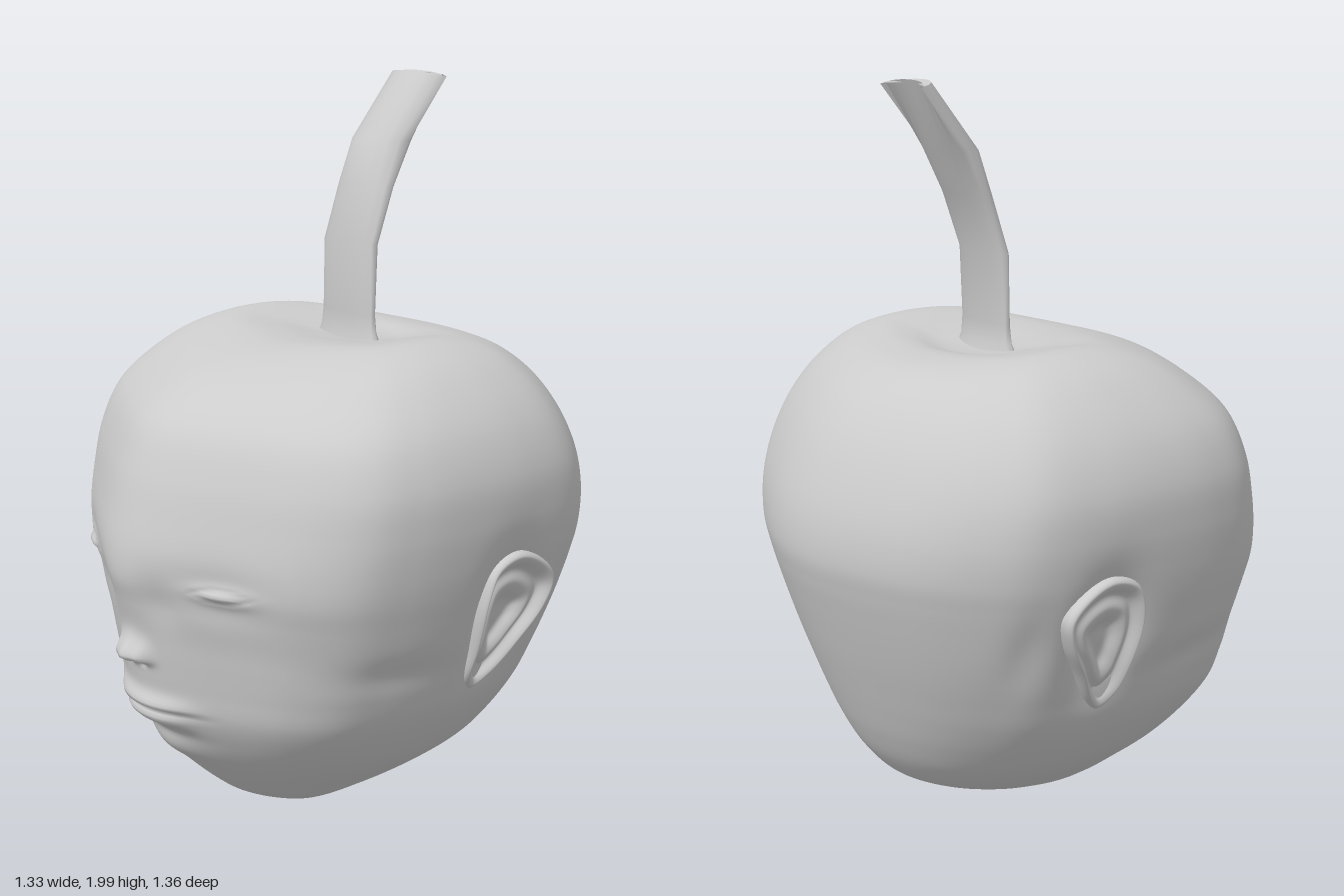
import * as THREE from 'three';

const V = (x, y, z) => new THREE.Vector3(x, y, z);
const bell = (a, b) => Math.exp(-a * a - b * b);
const plateau = (a, b) => Math.exp(-(a ** 4) - b * b);

// Skin closed rings of points, listed counterclockwise around the direction of travel
function loft(name, rings, side = THREE.FrontSide) {
  const n = rings[0].length, index = [];
  for (let i = 0; i < rings.length - 1; i++) {
    for (let j = 0; j < n; j++) {
      const a = i * n + j, b = i * n + (j + 1) % n;
      index.push(a, b, b + n, a, b + n, a + n);
    }
  }
  const geo = new THREE.BufferGeometry().setFromPoints(rings.flat());
  geo.setIndex(index);
  geo.computeVertexNormals();
  const mesh = new THREE.Mesh(geo, new THREE.MeshStandardMaterial({ color: 0xcccccc, side }));
  mesh.name = name;
  return mesh;
}

// Head levels: half width, its y, front z, its y, back z, its y
const LEVELS = [
  [0, 0.01, 0.1, 0.01, 0.1, 0.01],
  [0.12, 0.012, 0.22, 0.008, -0.08, 0.025],
  [0.19, 0.05, 0.31, 0.045, -0.25, 0.062],
  [0.28, 0.115, 0.4, 0.115, -0.385, 0.12],
  [0.38, 0.2, 0.485, 0.2, -0.46, 0.2],
  [0.455, 0.29, 0.555, 0.285, -0.51, 0.29],
  [0.512, 0.38, 0.605, 0.375, -0.547, 0.38],
  [0.545, 0.46, 0.622, 0.46, -0.577, 0.46],
  [0.573, 0.53, 0.632, 0.53, -0.602, 0.53],
  [0.597, 0.6, 0.642, 0.6, -0.625, 0.6],
  [0.62, 0.68, 0.662, 0.68, -0.65, 0.68],
  [0.638, 0.75, 0.68, 0.75, -0.67, 0.75],
  [0.652, 0.82, 0.677, 0.82, -0.683, 0.82],
  [0.664, 0.92, 0.652, 0.92, -0.673, 0.92],
  [0.66, 1.03, 0.615, 1.03, -0.635, 1.03],
  [0.62, 1.14, 0.555, 1.14, -0.575, 1.14],
  [0.55, 1.23, 0.45, 1.22, -0.5, 1.225],
  [0.46, 1.3, 0.33, 1.275, -0.41, 1.28],
  [0.36, 1.333, 0.2, 1.305, -0.32, 1.3],
  [0.24, 1.318, 0.1, 1.307, -0.26, 1.302],
  [0.13, 1.295, 0.0, 1.295, -0.19, 1.288],
  [0, 1.285, -0.08, 1.285, -0.08, 1.285],
];

// Half of the rounded six-sided section, front to back
const SECTION = [[0, 1], [0.11, 0.987], [0.23, 0.948], [0.45, 0.85], [0.76, 0.68], [0.91, 0.52],
  [0.975, 0.32], [1, 0.05], [0.99, -0.24], [0.93, -0.51], [0.81, -0.67], [0.62, -0.82],
  [0.3, -0.95], [0.13, -0.99], [0, -1]];

// Face relief: forward or backward push at a point on the front
function relief(x, y) {
  const ax = Math.abs(x), ex = ax - 0.3, ey = y - 0.752;
  let d = 0;
  // sockets, almond eyeballs, lid slits
  d -= 0.016 * bell((ax - 0.27) / 0.14, (y - 0.75) / 0.065);
  d += 0.024 * bell(ex / 0.075, ey / 0.024);
  d -= 0.007 * plateau(ex / 0.075, (ey - 0.016 + 2.4 * ex * ex) / 0.006);
  d -= 0.007 * plateau(ex / 0.075, (ey + 0.014 - 2.4 * ex * ex) / 0.006);
  d -= 0.012 * bell((ax - 0.12) / 0.06, (y - 0.7) / 0.07);
  // nose tip, wings and nostrils
  const ny = y - 0.528, s = ny < 0 ? 0.018 : 0.045;
  d += 0.048 * bell(x / 0.045, ny / s);
  d += 0.02 * bell((ax - 0.05) / 0.022, ny / (s * 0.8));
  d -= 0.016 * bell((ax - 0.03) / 0.015, (y - 0.51) / 0.008);
  // lips, mouth line, crease under the lip, chin
  d += 0.024 * plateau(x / 0.16, (y - 0.395) / 0.025);
  d += 0.024 * plateau(x / 0.13, (y - 0.352) / 0.026);
  d -= 0.022 * plateau(x / 0.17, (y - 0.379) / 0.007);
  d -= 0.012 * bell(x / 0.12, (y - 0.3) / 0.025);
  d += 0.014 * bell(x / 0.11, (y - 0.235) / 0.035);
  return d;
}

function buildHead() {
  const rows = 190, cols = 260;
  const curve = (f) => new THREE.CatmullRomCurve3(LEVELS.map(f));
  const side = curve((l) => V(l[0], l[1], 0));
  const front = curve((l) => V(0, l[3], l[2]));
  const back = curve((l) => V(0, l[5], l[4]));
  const half = SECTION.map(([x, z]) => V(x, 0, z));
  const other = half.slice(1, -1).reverse().map((p) => V(-p.x, 0, p.z));
  const outline = new THREE.CatmullRomCurve3([...half, ...other], true);
  // columns crowd together toward the face
  const section = Array.from({ length: cols }, (_, j) => {
    const t = (j / cols) * Math.PI * 2;
    const u = (t - 0.45 * Math.sin(t)) / (Math.PI * 2);
    return outline.getPointAt(Math.max(0, u));
  });
  const rings = [];
  for (let i = 0; i <= rows; i++) {
    const s = side.getPoint(i / rows), f = front.getPoint(i / rows), b = back.getPoint(i / rows);
    // the section turns round toward the underside
    const round = 0.6 * (1 - THREE.MathUtils.smoothstep(s.y, 0.1, 0.5));
    rings.push(section.map((q) => {
      const r = THREE.MathUtils.lerp(1, 1 / Math.hypot(q.x, q.z), round);
      const qx = q.x * r, qz = q.z * r;
      const y = s.y + (f.y - b.y) / 2 * qz + ((f.y + b.y) / 2 - s.y) * qz * qz;
      let x = Math.max(0, s.x) * qx;
      let z = (f.z + b.z) / 2 + (f.z - b.z) / 2 * qz;
      if (z > 0.2) z += relief(x, y) * THREE.MathUtils.smoothstep(z, 0.2, 0.4);
      // hollow under the ear, groove behind it, fold on the cheek
      const dent = 0.06 * bell((z + 0.12) / 0.09, (y - 0.65) / 0.16)
        + 0.015 * bell((z + 0.33) / 0.05, (y - 0.62) / 0.12)
        + 0.012 * bell((z - 0.2) / 0.17, (y - 0.53 - 0.1 * (z - 0.2)) / 0.05);
      x -= qx * dent;
      return V(x, y, z);
    }));
  }
  return loft('head', rings);
}

// Ear: a teardrop dish with a raised rim, rings running from the root to the centre
function buildEar(side) {
  const outline = new THREE.CatmullRomCurve3([[0.82, -0.13], [0.79, -0.05], [0.7, -0.022], [0.55, -0.03],
    [0.45, -0.045], [0.41, -0.08], [0.45, -0.125], [0.55, -0.185], [0.65, -0.245], [0.73, -0.262],
    [0.79, -0.21]].map(([y, z]) => V(0, y, z)), true);
  const profile = new THREE.CatmullRomCurve3([[0.9, -0.06], [0.97, -0.01], [1, 0.03], [0.95, 0.046], [0.86, 0.04],
    [0.72, 0.015], [0.55, 0.022], [0.42, 0.014], [0.25, -0.005], [0, -0.008]].map(([s, h]) => V(s, h, 0)));
  const n = 64, rings = [];
  for (let i = 0; i <= 40; i++) {
    const p = profile.getPoint(i / 40);
    rings.push(Array.from({ length: n }, (_, j) => {
      const o = outline.getPoint((((side * j) / n) + 1) % 1);
      const y = 0.63 + (o.y - 0.63) * p.x, z = -0.12 + (o.z + 0.12) * p.x;
      // the ear bends inward toward its lobe
      const root = 0.605 - 0.8 * (0.82 - y) ** 2;
      return V(side * (root + p.y), y, z);
    }));
  }
  return loft(side > 0 ? 'leftEar' : 'rightEar', rings);
}

// Stem: a flattened, backward-bending stalk with a notched tip
function buildStem() {
  // y, half width, front z, side z, back z
  const cuts = [[1.27, 0.14, -0.045, -0.075, -0.12], [1.31, 0.118, -0.058, -0.078, -0.105],
    [1.36, 0.112, -0.06, -0.08, -0.1], [1.55, 0.11, -0.058, -0.085, -0.115],
    [1.7, 0.107, -0.095, -0.14, -0.17], [1.82, 0.105, -0.128, -0.2, -0.235],
    [1.99, 0.1, -0.268, -0.335, -0.308]];
  const n = 16;
  const rings = cuts.map(([y, w, f, s, b], i) => Array.from({ length: n }, (_, j) => {
    const a = (j / n) * Math.PI * 2, c = Math.cos(a);
    const tip = i === cuts.length - 1 ? 0.015 * Math.abs(c) - 0.005 : 0;
    return V(w * Math.sin(a), y + tip, s + (c > 0 ? f - s : b - s) * Math.abs(c));
  }));
  const stem = new THREE.Group();
  stem.name = 'stem';
  const rim = rings[rings.length - 1];
  const middle = V(0, 1.995, -0.29);
  stem.add(loft('stalk', rings, THREE.DoubleSide));
  stem.add(loft('stemTip', [rim, rim.map(() => middle.clone())], THREE.DoubleSide));
  return stem;
}

export function createModel() {
  const model = new THREE.Group();
  model.name = 'fruitHead';
  model.add(buildHead(), buildEar(1), buildEar(-1), buildStem());
  return model;
}
